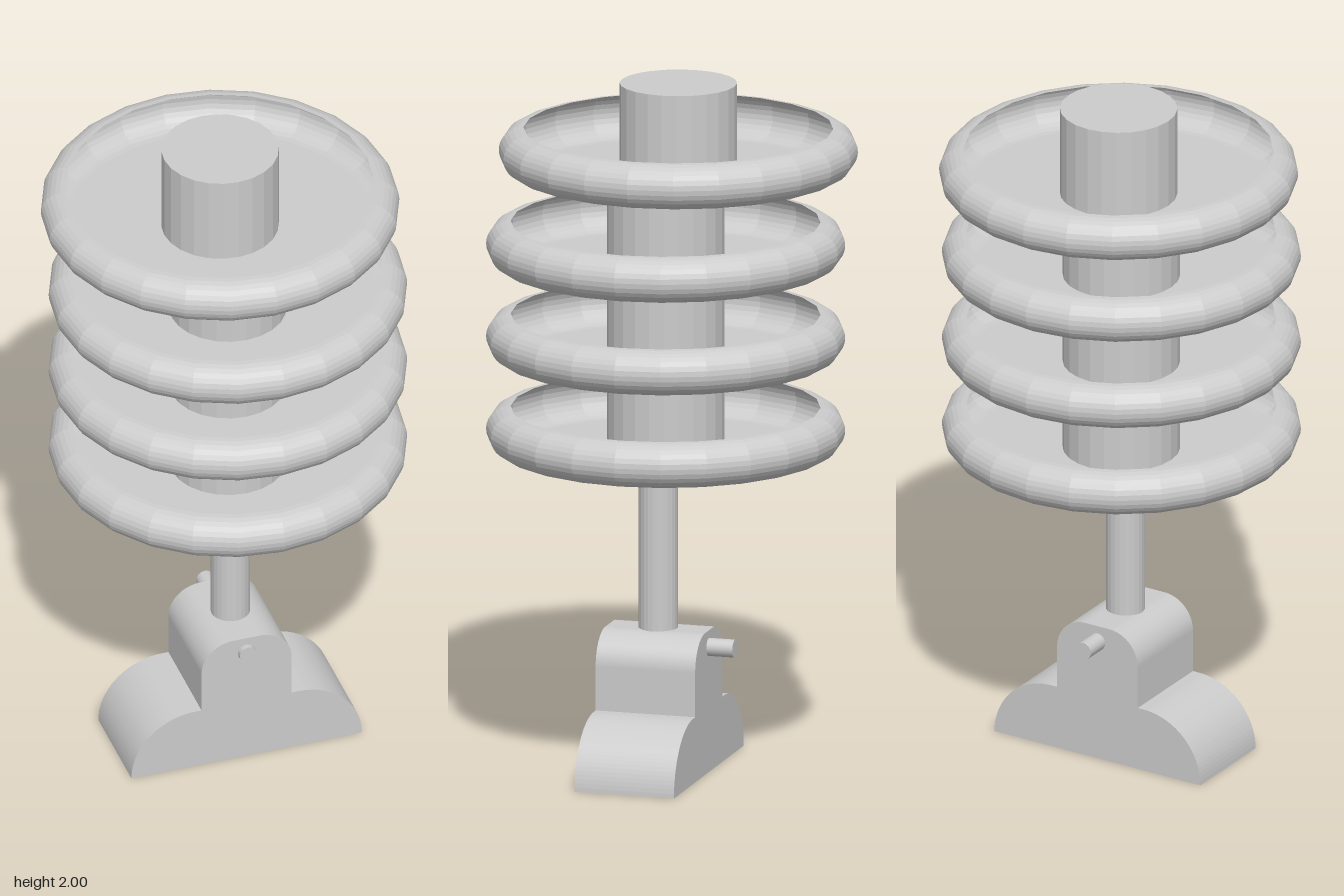
import * as THREE from 'three';

const faceted = () => new THREE.MeshStandardMaterial({ color: 0xcccccc, flatShading: true, side: THREE.DoubleSide });
const smooth = () => new THREE.MeshStandardMaterial({ color: 0xcccccc, side: THREE.DoubleSide });

const TUBE_R = 0.167, RING_R = 0.44, RIM_R = 0.066;

function add(parent, name, geometry, material, x = 0, y = 0, z = 0) {
  const mesh = new THREE.Mesh(geometry, material);
  mesh.name = name;
  mesh.position.set(x, y, z);
  parent.add(mesh);
  return mesh;
}

// Vertical cylinder between two heights
function column(parent, name, radius, y0, y1, x, z, open = false) {
  const geometry = new THREE.CylinderGeometry(radius, radius, y1 - y0, 24, 1, open);
  return add(parent, name, geometry, faceted(), x, (y0 + y1) / 2, z);
}

// Open dish: flat floor with a central hole and a bulging half-round rim
function dishGeometry() {
  const points = [new THREE.Vector2(TUBE_R, -RIM_R)];
  for (let i = 0; i <= 14; i++) {
    const a = -Math.PI / 2 + (i / 14) * Math.PI;
    points.push(new THREE.Vector2(RING_R + 0.07 * Math.cos(a), RIM_R * Math.sin(a)));
  }
  return new THREE.LatheGeometry(points, 24);
}

// Stepped foot with rounded shoulders, hollow and open underneath
function footGeometry(depth) {
  const s = new THREE.Shape();
  s.moveTo(-0.345, 0);
  s.lineTo(0.345, 0);
  s.absarc(0.155, 0, 0.19, 0, Math.PI / 2, false);
  s.lineTo(0.135, 0.19);
  s.lineTo(0.135, 0.318);
  s.absarc(0.04, 0.318, 0.095, 0, Math.PI / 2, false);
  s.absarc(-0.04, 0.318, 0.095, Math.PI / 2, Math.PI, false);
  s.lineTo(-0.135, 0.19);
  s.absarc(-0.155, 0, 0.19, Math.PI / 2, Math.PI, false);
  const solid = new THREE.ExtrudeGeometry(s, { depth, bevelEnabled: false, curveSegments: 12 });

  // Leave out the triangles lying on the ground
  const p = solid.attributes.position, kept = [];
  for (let i = 0; i < p.count; i += 3) {
    if (Math.max(p.getY(i), p.getY(i + 1), p.getY(i + 2)) < 1e-5) continue;
    for (let k = i; k < i + 3; k++) kept.push(p.getX(k), p.getY(k), p.getZ(k));
  }
  const shell = new THREE.BufferGeometry();
  shell.setAttribute('position', new THREE.Float32BufferAttribute(kept, 3));
  shell.computeVertexNormals();
  return shell;
}

export function createModel() {
  const model = new THREE.Group();
  model.name = 'dishStackOnFoot';

  // Foot and the pin through it
  add(model, 'foot', footGeometry(0.295), smooth(), 0.003, 0, -0.11);
  const pin = add(model, 'pin', new THREE.CylinderGeometry(0.026, 0.026, 0.388, 16), smooth(), 0.003, 0.365, 0.007);
  pin.rotation.x = Math.PI / 2;

  // Rod rising from the foot into the tube
  column(model, 'rod', 0.056, 0.365, 1.95, 0.003, 0.04);

  // Hollow tube, with the slightly shifted top section capped
  column(model, 'tube', TUBE_R, 0.924, 1.735, 0.003, 0.018, true);
  column(model, 'tubeTop', TUBE_R, 1.735, 2, -0.009, -0.016, true);
  const cap = add(model, 'tubeCap', new THREE.CircleGeometry(TUBE_R, 24), smooth(), -0.009, 2, -0.016);
  cap.rotation.x = -Math.PI / 2;

  // Four dishes, the top one shifted with its tube section
  const dish = dishGeometry();
  [0.99, 1.26, 1.53, 1.802].forEach((y, i) => {
    const top = i === 3;
    add(model, 'dish' + (i + 1), dish, faceted(), top ? -0.009 : 0.003, y, top ? -0.016 : 0.018);
  });

  return model;
}
